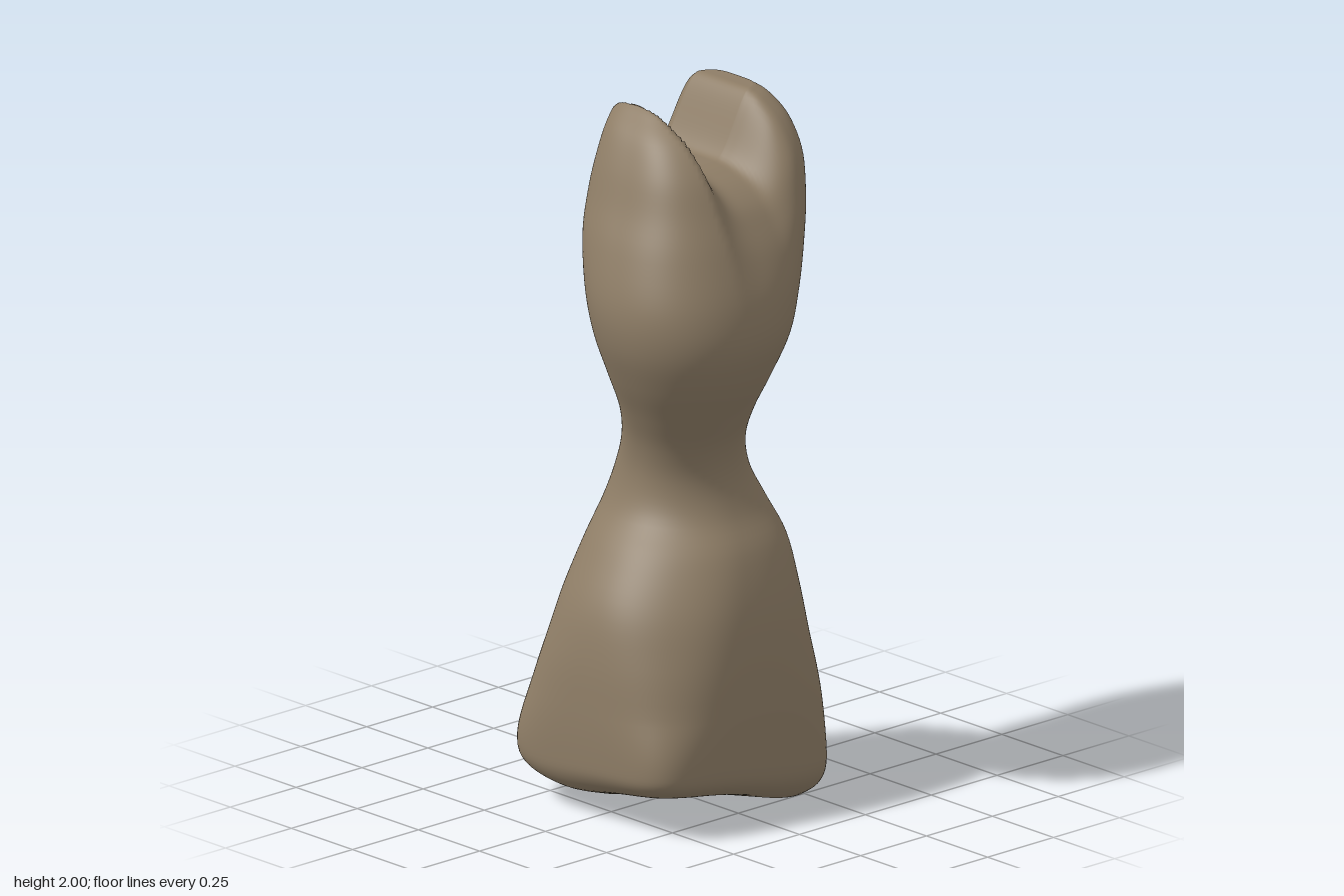
import * as THREE from 'three';

// Body envelope: height, x min, x max, z back, z front, squareness of the left corners and of the right corners
const ROWS = [
  [0.00, -0.25, 0.33, -0.18, 0.27, 3.5, 3.2],
  [0.03, -0.33, 0.345, -0.24, 0.31, 4, 4.2],
  [0.08, -0.37, 0.345, -0.32, 0.343, 4.3, 5.2],
  [0.16, -0.378, 0.34, -0.343, 0.35, 4.4, 5.2],
  [0.32, -0.376, 0.325, -0.325, 0.35, 4, 3.3],
  [0.48, -0.362, 0.308, -0.295, 0.337, 3.3, 2.4],
  [0.62, -0.325, 0.3, -0.275, 0.31, 2.9, 2.05],
  [0.75, -0.245, 0.295, -0.263, 0.26, 2.6, 2],
  [0.85, -0.165, 0.265, -0.25, 0.195, 2.4, 2],
  [0.95, -0.135, 0.215, -0.21, 0.163, 2.3, 2.1],
  [1.05, -0.145, 0.185, -0.165, 0.175, 2.2, 2.2],
  [1.15, -0.185, 0.18, -0.14, 0.225, 2.2, 2.2],
  [1.26, -0.24, 0.207, -0.152, 0.29, 2.2, 2.2],
  [1.38, -0.285, 0.258, -0.185, 0.336, 2.2, 2.2],
  [1.50, -0.292, 0.3, -0.215, 0.33, 2.3, 2.3],
  [1.64, -0.253, 0.345, -0.253, 0.283, 2.7, 2.5],
  [1.75, -0.205, 0.367, -0.262, 0.235, 3.3, 2.7],
  [1.85, -0.165, 0.375, -0.25, 0.185, 4, 2.9],
  [1.93, -0.12, 0.372, -0.245, 0.12, 4.2, 3],
  [1.98, -0.07, 0.355, -0.243, 0.05, 4.2, 3],
  [2.00, -0.045, 0.335, -0.225, 0.0, 4, 3],
];

const { smoothstep, clamp } = THREE.MathUtils;

// Press the crown down between the two horns, fading out towards the chest
function pressNotch(x, y) {
  const inner = 1 - (1 - clamp((x + 0.045) / 0.125, 0, 1)) ** 3;
  const depth = 0.18 * inner * (1 - smoothstep(x, 0.145, 0.285));
  const fade = Math.max(0, (y - 1.4) / 0.6);
  return y - depth * fade * fade;
}

function bodyGeometry() {
  const SEG = 160, STEPS = 100, CAP = 26;
  const spline = (...cols) => new THREE.CatmullRomCurve3(
    ROWS.map(r => new THREE.Vector3(...cols.map(c => r[c]))), false, 'catmullrom');
  const spanX = spline(1, 2, 0), spanZ = spline(3, 4, 0), corners = spline(5, 6, 0);

  // Rings run from the middle of the base, up the sides and in over the top
  const rings = [];
  for (let i = 0; i < 6; i++) rings.push([0, i / 6]);
  for (let i = 0; i <= STEPS; i++) rings.push([i / STEPS, 1]);
  for (let i = CAP - 1; i >= 0; i--) rings.push([1, i / CAP]);

  const positions = [], index = [];
  rings.forEach(([t, scale], row) => {
    const px = spanX.getPoint(t), pz = spanZ.getPoint(t), corner = corners.getPoint(t);
    const height = clamp(px.z, 0, 2);
    for (let j = 0; j < SEG; j++) {
      const a = j / SEG * Math.PI * 2, c = Math.cos(a), s = Math.sin(a);
      // The right corners are softer above the base, the front one most, and lift off the ground
      const rightFront = Math.max(0, (s - c) / Math.SQRT2) ** 2;
      const rightBack = Math.max(0, -(s + c) / Math.SQRT2) ** 2;
      const n = corner.x + (corner.y - corner.x) * (rightFront + 0.65 * rightBack);
      const lift = (0.09 * rightFront + 0.035 * rightBack) * scale * Math.max(0, 1 - height / 0.35);
      const r = scale * Math.pow(Math.abs(c) ** n + Math.abs(s) ** n, -1 / n);
      const x = (px.x + px.y) / 2 + r * c * (px.y - px.x) / 2;
      const z = (pz.x + pz.y) / 2 + r * s * (pz.y - pz.x) / 2;
      positions.push(x, pressNotch(x, height) + lift, z);
      if (row === rings.length - 1) continue;
      const p = row * SEG + j, q = row * SEG + (j + 1) % SEG;
      index.push(p, p + SEG, q, q, p + SEG, q + SEG);
    }
  });

  const geometry = new THREE.BufferGeometry();
  geometry.setAttribute('position', new THREE.Float32BufferAttribute(positions, 3));
  geometry.setIndex(index);
  geometry.computeVertexNormals();
  return geometry;
}

export function createModel() {
  const clay = new THREE.MeshStandardMaterial({ color: 0x8e7d66 });
  clay.name = 'clay brown';
  const group = new THREE.Group();
  group.name = 'hornedFigure';
  const body = new THREE.Mesh(bodyGeometry(), clay);
  body.name = 'body';
  group.add(body);
  return group;
}
